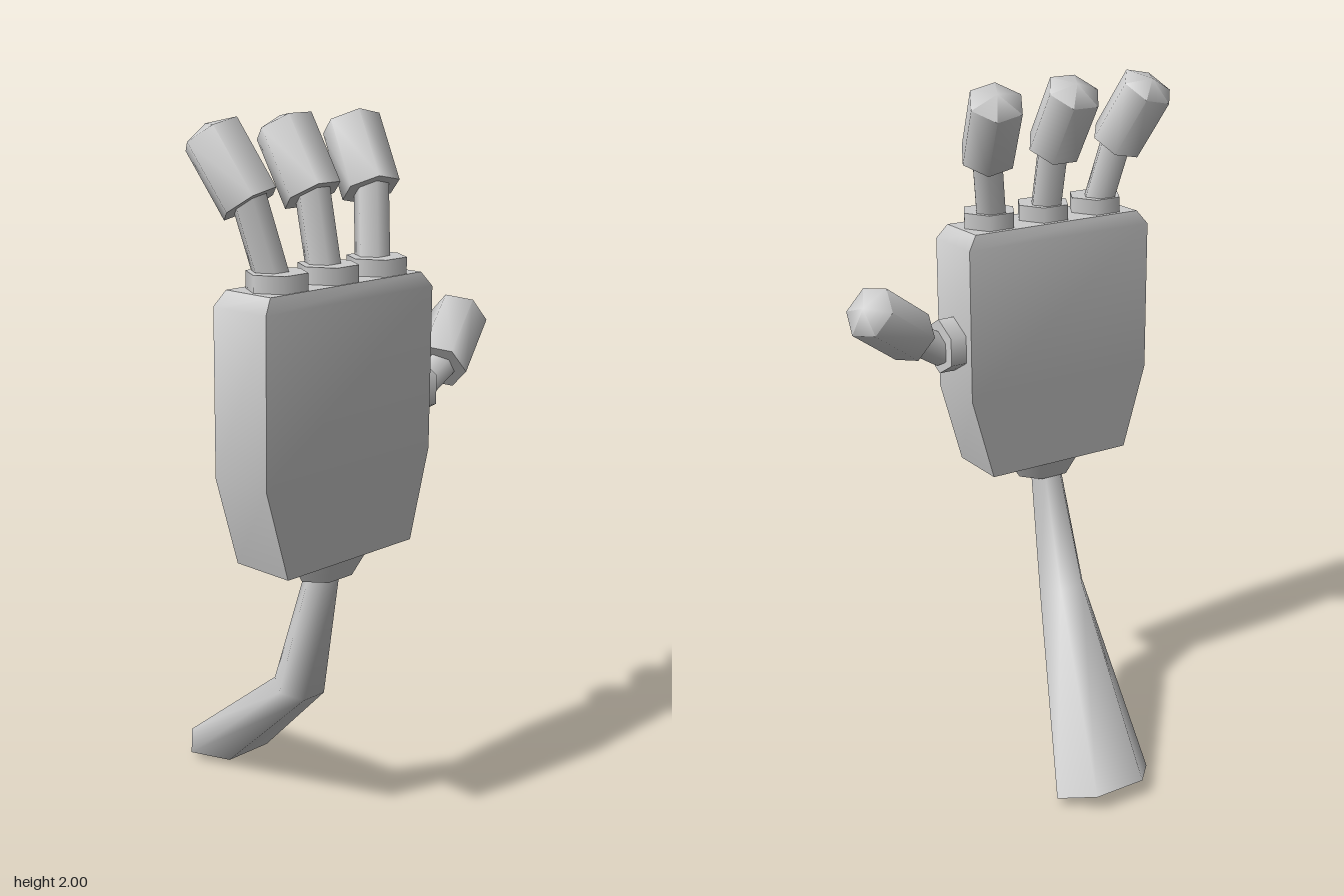
import * as THREE from 'three';
import { toCreasedNormals } from 'three/addons/utils/BufferGeometryUtils.js';

const material = new THREE.MeshStandardMaterial({ color: 0xcccccc });
const UP = new THREE.Vector3(0, 1, 0);
const vec = (x, y, z) => new THREE.Vector3(x, y, z);

function add(parent, name, geometry) {
  const mesh = new THREE.Mesh(geometry, material);
  mesh.name = name;
  parent.add(mesh);
  return mesh;
}

// Skin between rings listed bottom to top, with flat caps on separate vertices
function loft(rings) {
  const n = rings[0].length;
  const last = rings.length - 1;
  const points = [...rings.flat(), ...rings[0], ...rings[last]];
  const index = [];
  for (let i = 0; i < last; i++) {
    for (let j = 0; j < n; j++) {
      const a = i * n + j, b = i * n + (j + 1) % n;
      index.push(a, b, b + n, a, b + n, a + n);
    }
  }
  const bottom = rings.length * n, top = bottom + n;
  for (let j = 1; j < n - 1; j++) {
    index.push(bottom, bottom + j + 1, bottom + j, top, top + j, top + j + 1);
  }
  const geometry = new THREE.BufferGeometry().setFromPoints(points);
  geometry.setIndex(index);
  geometry.computeVertexNormals();
  return geometry;
}

// Place a part that starts at its local origin so that it runs from one point towards another
function aim(mesh, from, to) {
  mesh.position.copy(from);
  mesh.quaternion.setFromUnitVectors(UP, to.clone().sub(from).normalize());
}

// Six-sided rod between two points
function rod(parent, name, from, to, radius) {
  const length = from.distanceTo(to);
  const geometry = new THREE.CylinderGeometry(radius, radius, length, 6);
  geometry.translate(0, length / 2, 0);
  aim(add(parent, name, geometry), from, to);
}

// Six-sided fingertip with a shallow pointed cap
function tip(parent, name, from, to) {
  const length = from.distanceTo(to);
  const r = 0.081;
  const profile = [[0, 0], [r, 0], [r, length], [0, length + 0.03]]
    .map(([x, y]) => new THREE.Vector2(x, y));
  const geometry = toCreasedNormals(new THREE.LatheGeometry(profile, 6), 1.25);
  aim(add(parent, name, geometry), from, to);
}

// Six-sided ring, wide across z and narrow across x
function armRing([cx, cy, cz], [ux, uy], radius) {
  return Array.from({ length: 6 }, (_, i) => {
    const a = i * Math.PI / 3;
    const s = Math.sin(a) / Math.sin(Math.PI / 3);
    return vec(cx + ux * s, cy + uy * s, cz + radius * Math.cos(a));
  });
}

export function createModel() {
  const hand = new THREE.Group();
  hand.name = 'mechanicalHand';

  // Palm: slab tapered at the wrist and bevelled at the knuckles
  const palmRings = [
    [0.84, 0.195, 0.385, -0.08, 0.395],
    [1.09, 0.195, 0.385, -0.15, 0.47],
    [1.54, 0.195, 0.385, -0.15, 0.47],
    [1.58, 0.21, 0.37, -0.12, 0.44],
  ].map(([y, x0, x1, z0, z1]) => [vec(x0, y, z1), vec(x1, y, z1), vec(x1, y, z0), vec(x0, y, z0)]);
  add(hand, 'palm', toCreasedNormals(loft(palmRings), 0.7));

  // Three fingers, the outer two splayed
  [[0.345, 0.19], [0.16, 0], [-0.025, -0.19]].forEach(([z, splay], i) => {
    rod(hand, `fingerCollar${i + 1}`, vec(0.295, 1.57, z), vec(0.295, 1.625, z), 0.082);
    const finger = new THREE.Group();
    finger.name = `finger${i + 1}`;
    finger.position.set(0.295, 1.6, z);
    finger.rotation.x = splay;
    rod(finger, 'fingerStem', vec(-0.012, -0.01, 0), vec(-0.061, 0.22, 0), 0.048);
    tip(finger, 'fingertip', vec(-0.057, 0.195, 0), vec(-0.162, 0.365, 0));
    hand.add(finger);
  });

  // Thumb on the side of the palm
  const thumb = new THREE.Group();
  thumb.name = 'thumb';
  rod(thumb, 'thumbCollar', vec(0.295, 1.243, -0.14), vec(0.295, 1.243, -0.2), 0.082);
  rod(thumb, 'thumbStem', vec(0.295, 1.225, -0.185), vec(0.3, 1.3, -0.31), 0.046);
  tip(thumb, 'thumbTip', vec(0.3, 1.285, -0.285), vec(0.236, 1.402, -0.45));
  hand.add(thumb);

  // Wrist collar
  add(hand, 'wristCollar', loft([
    armRing([0.292, 0.775, 0.16], [0.056, 0], 0.09),
    armRing([0.292, 0.845, 0.16], [0.088, 0], 0.135),
  ]));

  // Bent arm widening towards its foot
  add(hand, 'arm', loft([
    armRing([-0.302, 0.028, -0.021], [0.0875, -0.0235], 0.16),
    armRing([0.192, 0.417, 0.16], [0.058, -0.018], 0.08),
    armRing([0.283, 0.79, 0.16], [0.038, 0], 0.053),
  ]));

  return hand;
}
